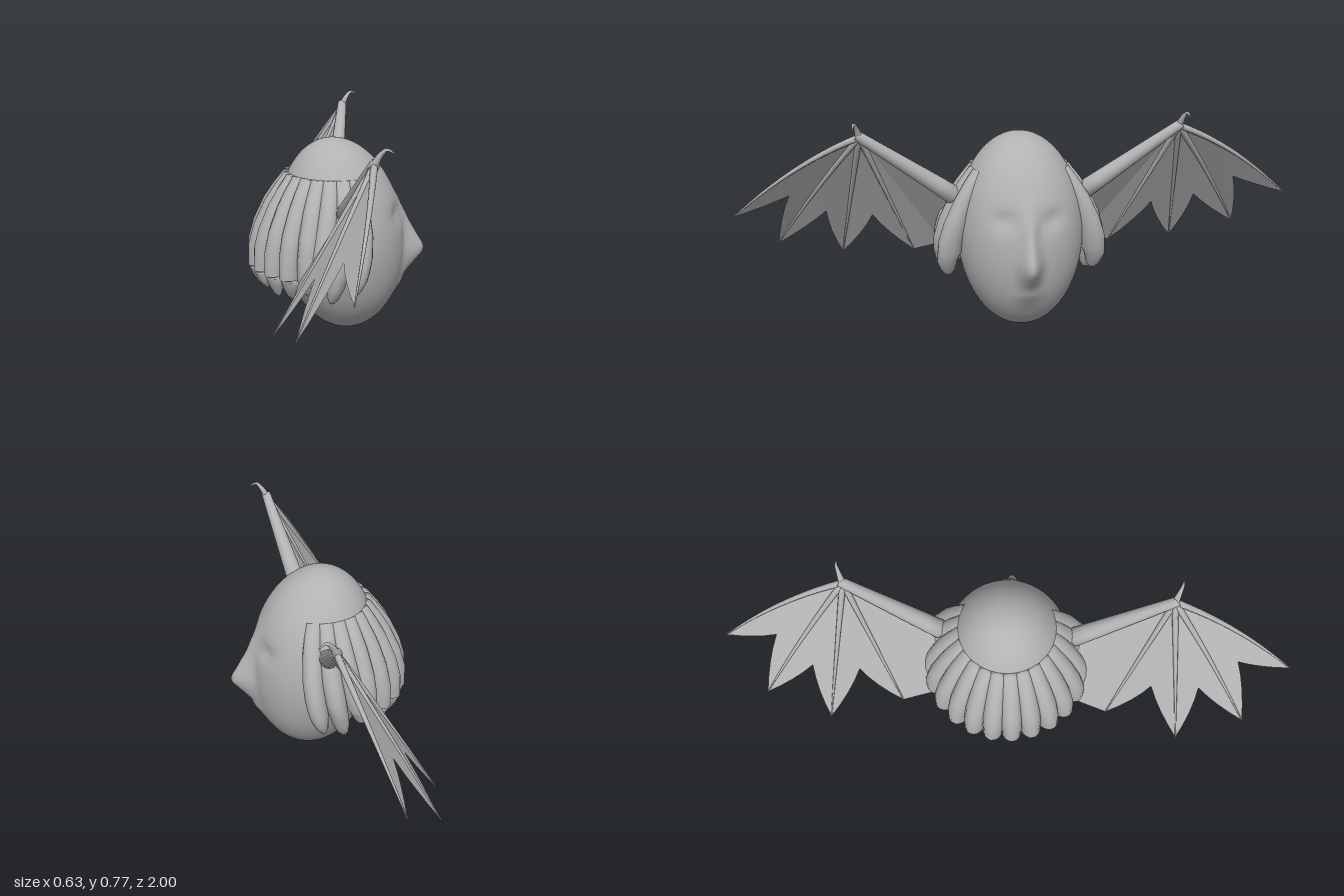
import * as THREE from 'three';

const V = (x, y, z) => new THREE.Vector3(x, y, z);
const grey = new THREE.MeshStandardMaterial({ color: 0xb2b2b2 });
grey.name = 'stone grey';
grey.side = THREE.DoubleSide;

const mesh = (name, geo) => {
  const m = new THREE.Mesh(geo, grey);
  m.name = name;
  return m;
};

// Piecewise linear lookup in [key, value] pairs with rising keys
function sample(table, k) {
  if (k <= table[0][0]) return table[0][1];
  for (let i = 1; i < table.length; i++) {
    const [k0, v0] = table[i - 1], [k1, v1] = table[i];
    if (k <= k1) return v0 + (v1 - v0) * (k - k0) / (k1 - k0);
  }
  return table[table.length - 1][1];
}

// Skin over a list of equal rings, counter-clockwise around the travel direction
function loft(rings) {
  const n = rings[0].length, index = [];
  for (let j = 0; j < rings.length - 1; j++) {
    for (let i = 0; i < n; i++) {
      const a = j * n + i, b = j * n + (i + 1) % n;
      index.push(a, b, b + n, a, b + n, a + n);
    }
  }
  const geo = new THREE.BufferGeometry().setFromPoints(rings.flat());
  geo.setIndex(index);
  geo.computeVertexNormals();
  return geo;
}

const ring = (c, N, B, a, b, n) => Array.from({ length: n }, (_, i) => {
  const t = i / n * Math.PI * 2;
  return c.clone().addScaledVector(N, a * Math.cos(t)).addScaledVector(B, b * Math.sin(t));
});

// Round limb tapering from r0 to r1 along a curve, closed at both ends
function limb(curve, r0, r1, steps = 10, sides = 10) {
  const { normals, binormals } = curve.computeFrenetFrames(steps);
  const at = (j, r) => ring(curve.getPointAt(j / steps), normals[j], binormals[j], r, r, sides);
  const rings = [at(0, 0)];
  for (let j = 0; j <= steps; j++) rings.push(at(j, r0 + (r1 - r0) * j / steps));
  rings.push(at(steps, 0));
  return loft(rings);
}

// Egg-shaped head with nose, brow, eye sockets and lips on the +x side
function headGeometry() {
  const nose = [[0.1, 0], [0.17, 0.012], [0.2, 0.02], [0.235, 0.045], [0.27, 0.072], [0.295, 0.077],
    [0.335, 0.052], [0.39, 0.026], [0.45, 0.01], [0.52, 0]];
  const noseWidth = [[0.15, 0.08], [0.23, 0.065], [0.29, 0.06], [0.38, 0.04], [0.5, 0.06]];
  const rings = [], rows = 56, cols = 112;
  for (let j = 0; j <= rows; j++) {
    const t = -Math.cos(j / rows * Math.PI), y = 0.348 + 0.348 * t;
    const r = Math.sqrt(Math.max(0, 1 - t * t)), cx = 0.01 - 0.025 * t;
    rings.push(Array.from({ length: cols }, (_, i) => {
      const a = i / cols * Math.PI * 2, c = Math.cos(a), z = -0.225 * r * Math.sin(a);
      let x = cx + c * r * (c > 0 ? 0.23 : 0.22);
      if (c > 0) {
        const d = Math.min(1, Math.abs(z) / sample(noseWidth, y));
        x += sample(nose, y) * (0.5 + 0.5 * Math.cos(Math.PI * d));
        x -= 0.016 * Math.exp(-(((Math.abs(z) - 0.085) / 0.04) ** 2) - ((y - 0.435) / 0.028) ** 2);
        x += 0.006 * Math.exp(-((z / 0.05) ** 2) - ((y - 0.17) / 0.02) ** 2);
      }
      return V(x, y, z);
    }));
  }
  return loft(rings);
}

// One thick hair lock; angle is measured from the back, side is +1 or -1
function lockGeometry(angle, side, tipY, swept) {
  const outer = [[0.16, 0.27], [0.25, 0.31], [0.33, 0.308], [0.4, 0.288], [0.48, 0.25], [0.578, 0.185]];
  // Each row: height, radial half thickness, tangential half width
  const rows = [[0.578, 0, 0], [0.578, 0.014, 0.024], [0.53, 0.026, 0.029], [0.48, 0.034, 0.033],
    [0.4, 0.042, 0.037], [0.33, 0.045, 0.037]];
  if (swept) {
    [[0.28, 0.043, 0.035], [tipY + 0.06, 0.037, 0.03], [tipY + 0.025, 0.026, 0.021],
      [tipY + 0.006, 0.012, 0.01], [tipY, 0, 0]].forEach(r => rows.push(r));
  } else {
    // Pinched band above a short pointed tip
    [[0.25, 0.043, 0.036], [0.249, 0.02, 0.018], [0.24, 0.02, 0.018], [0.239, 0.036, 0.03],
      [0.215, 0.029, 0.024], [tipY + 0.015, 0.014, 0.013], [tipY, 0, 0]].forEach(r => rows.push(r));
  }
  return loft(rows.map(([y, a, b]) => {
    const s = (0.578 - y) / 0.4;
    const t = angle - (swept ? 0.2 * s * s : 0);
    const N = V(-Math.cos(t), 0, side * Math.sin(t));
    const B = V(0, -1, 0).cross(N);
    const c = N.clone().multiplyScalar(sample(outer, y) - Math.max(a, 0.02));
    return ring(c.add(V(-0.01, y, 0)), N, B, a, b, 16);
  }));
}

// Membrane between two finger curves; notch cuts a V into the free edge
function panelGeometry(A, B, notch) {
  const nu = 8, nv = 10, pts = [], index = [];
  for (let v = 0; v <= nv; v++) {
    for (let u = 0; u <= nu; u++) {
      const f = u / nu, s = v / nv * (1 - notch * (1 - Math.abs(2 * f - 1)));
      pts.push(A.getPoint(s).lerp(B.getPoint(s), f));
      if (u < nu && v < nv) {
        const a = v * (nu + 1) + u, d = a + nu + 1;
        index.push(a, a + 1, d + 1, a, d + 1, d);
      }
    }
  }
  const geo = new THREE.BufferGeometry().setFromPoints(pts);
  geo.setIndex(index);
  geo.computeVertexNormals();
  return geo;
}

function wing(side, name) {
  const g = new THREE.Group();
  g.name = name;
  const P = (x, y, z) => V(x, y, z * side);
  const elbow = P(0.068, 0.715, 0.555), root = P(0.012, 0.48, 0.235);
  g.add(mesh('wingArm', limb(new THREE.LineCurve3(root, elbow.clone().add(P(0.001, 0.008, 0.01))), 0.034, 0.017, 6, 14)));

  // Hooked thumb claw
  g.add(mesh('wingClaw', limb(new THREE.CatmullRomCurve3([
    P(0.065, 0.71, 0.555), P(0.085, 0.748, 0.565), P(0.105, 0.768, 0.574), P(0.128, 0.756, 0.578),
  ]), 0.014, 0.002)));

  // Finger bones, from the leading edge to the body, each with a slight bow
  const tips = [[-0.035, 0.42, 1, 0.06], [-0.19, 0.265, 0.86, 0.03], [-0.25, 0.2, 0.63, 0.01],
    [-0.175, 0.22, 0.37, 0], [-0.15, 0.25, 0.265, 0]];
  const fingers = tips.map(([x, y, z, bow]) => {
    const tip = P(x, y, z), mid = elbow.clone().lerp(tip, 0.5);
    return new THREE.QuadraticBezierCurve3(elbow, mid.add(V(bow * 0.3, bow, 0)), tip);
  });
  fingers.slice(0, 4).forEach(f => g.add(mesh('wingFinger', limb(f, 0.012, 0.002, 12, 8))));
  fingers.push(new THREE.LineCurve3(elbow, root));
  for (let i = 0; i < 5; i++) {
    g.add(mesh('wingMembrane', panelGeometry(fingers[i], fingers[i + 1], i < 3 ? 0.33 : 0)));
  }
  return g;
}

export function createModel() {
  const model = new THREE.Group();
  model.name = 'wingedHead';
  model.add(mesh('head', headGeometry()));

  // Fringe of locks around the back and sides
  const hair = new THREE.Group();
  hair.name = 'hair';
  const tipY = [0.17, 0.18, 0.165, 0.17, 0.19, 0.21, 0.165, 0.19];
  for (const side of [1, -1]) {
    tipY.forEach((y, k) => hair.add(mesh('hairLock', lockGeometry(0.125 + 0.258 * k, side, y, k > 4))));
  }
  model.add(hair, wing(1, 'wingFront'), wing(-1, 'wingBack'));
  return model;
}
